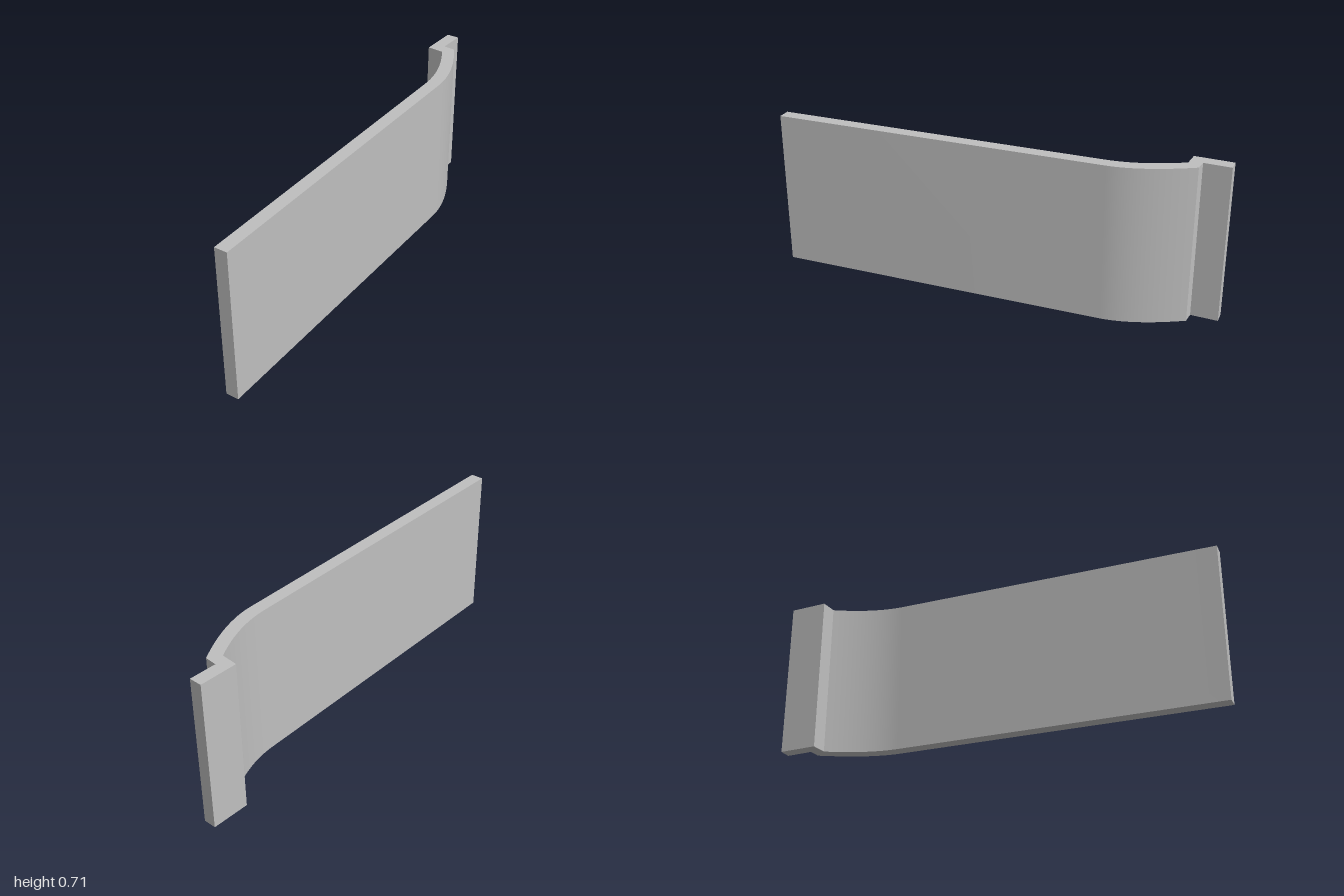
import * as THREE from 'three';
import { toCreasedNormals } from 'three/addons/utils/BufferGeometryUtils.js';

export function createModel() {
  const group = new THREE.Group();
  group.name = 'bentPanel';
  const grey = new THREE.MeshStandardMaterial({ color: 0xbfbfbf });
  grey.name = 'plain grey';

  // Plan outline of the strip: straight run, curved bend, stepped end lip (shape y = -z)
  const s = new THREE.Shape();
  s.moveTo(0.057, -1);
  s.lineTo(0.116, -1);
  s.lineTo(0.116, 0.52);
  s.quadraticCurveTo(0.115, 0.67, -0.003, 0.873);
  s.lineTo(-0.058, 0.878);
  s.lineTo(-0.052, 1);
  s.lineTo(-0.109, 1);
  s.lineTo(-0.116, 0.827);
  s.lineTo(-0.04, 0.821);
  s.quadraticCurveTo(0.057, 0.65, 0.057, 0.5);
  s.closePath();

  // Raise the outline to full height, smoothing only the bend
  const extruded = new THREE.ExtrudeGeometry(s, { depth: 0.715, bevelEnabled: false, curveSegments: 16 });
  extruded.rotateX(-Math.PI / 2);
  const panel = new THREE.Mesh(toCreasedNormals(extruded, 0.35), grey);
  panel.name = 'panel';
  group.add(panel);
  return group;
}
